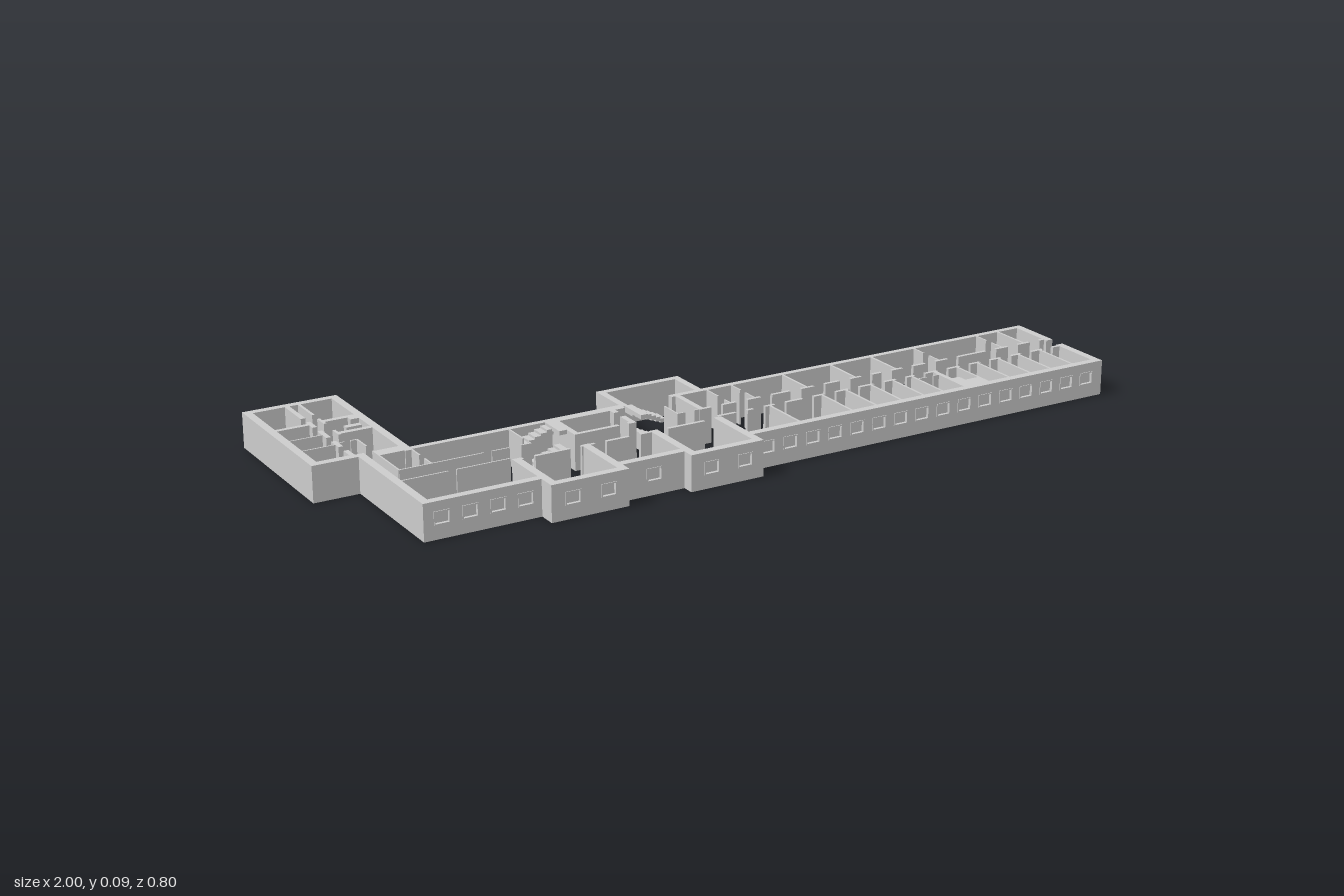
import * as THREE from 'three';

const H = 0.09;      // wall height
const OUT = 0.02;    // outer wall thickness
const IN = 0.009;    // inner wall thickness
const THIN = 0.004;  // light partition thickness
const REVEAL = 0.006; // depth of the window recesses

export function createModel() {
  const model = new THREE.Group();
  model.name = 'buildingFloor';
  // The walls are hollow and open underneath, so both sides show
  const material = new THREE.MeshStandardMaterial({ color: 0xcccccc, flatShading: true, side: THREE.DoubleSide });

  const group = (name) => {
    const g = new THREE.Group();
    g.name = name;
    model.add(g);
    return g;
  };
  const add = (parent, name, geometry, x, y, z) => {
    const mesh = new THREE.Mesh(geometry, material);
    mesh.position.set(x, y, z);
    mesh.name = name;
    parent.add(mesh);
  };
  // Box given by its limits on the plan and in height, open underneath
  const block = (parent, name, x0, x1, z0, z1, y0 = 0, y1 = H) => {
    const box = new THREE.BoxGeometry(x1 - x0, y1 - y0, z1 - z0);
    const index = Array.from(box.index.array);
    index.splice(18, 6);
    box.setIndex(index);
    add(parent, name, box, (x0 + x1) / 2, (y0 + y1) / 2, (z0 + z1) / 2);
  };
  // Straight wall on a centre line; each gap is [centre, width], open to the full height
  const wall = (parent, name, axis, at, from, to, t, gaps = []) => {
    let start = from;
    const piece = (a, b) => {
      if (b - a < 0.002) return;
      if (axis === 'x') block(parent, name, a, b, at - t / 2, at + t / 2);
      else block(parent, name, at - t / 2, at + t / 2, a, b);
    };
    for (const [c, w] of [...gaps].sort((a, b) => a[0] - b[0])) {
      piece(start, c - w / 2);
      start = c + w / 2;
    }
    piece(start, to);
  };

  // Outer walls, as [x0, x1, z0, z1]
  const outer = group('outerWalls');
  const outerWalls = [
    // side wing
    [-1, -1 + OUT, -0.4, 0.017], [-1, -0.758, -0.4, -0.381],
    [-0.778, -0.758, -0.4, 0.037], [-1, -0.885, -0.003, 0.017],
    // main block
    [-0.885, -0.865, 0.0, 0.353], [-0.84, -0.205, 0.017, 0.033],
    [0, 1, 0.017, 0.033], [-0.07, 0.02, 0.017, 0.033],
    // sides of the two front bays
    [-0.595, -0.575, 0.21, 0.398], [-0.417, -0.397, 0.21, 0.398],
    [-0.235, -0.215, 0.21, 0.398], [-0.06, -0.04, 0.21, 0.398],
    // back annex
    [-0.208, -0.19, -0.095, 0.033], [-0.208, 0.022, -0.095, -0.077],
    [0.004, 0.022, -0.095, 0.033],
    // end wall with the corridor window cut down from the top
    [0.98, 1, 0.017, 0.155], [0.98, 1, 0.195, 0.353], [0.98, 1, 0.155, 0.195, 0, 0.05],
  ];
  for (const w of outerWalls) block(outer, 'outerWall', ...w);

  // Front walls: a backing, a coping, a facing pierced by windows, and a slim frame in each opening
  const front = group('frontWalls');
  const rect = (Type, x0, x1, y0, y1) => new Type(
    [[x0, y0], [x1, y0], [x1, y1], [x0, y1]].map(([x, y]) => new THREE.Vector2(x, y)));
  const frontWall = (x0, x1, z, from, to, count) => {
    const w = 0.017, y0 = 0.037, y1 = 0.064, rim = 0.003;
    block(front, 'frontWall', x0, x1, z - OUT, z - REVEAL);
    block(front, 'coping', x0, x1, z - REVEAL, z, H - 0.004, H);
    const facing = rect(THREE.Shape, x0, x1, 0, H - 0.004);
    for (let i = 0; i < count; i++) {
      const x = count > 1 ? from + (to - from) * i / (count - 1) : (from + to) / 2;
      facing.holes.push(rect(THREE.Path, x - w, x + w, y0, y1));
      const frame = rect(THREE.Shape, x - w - rim, x + w + rim, y0 - rim, y1 + rim);
      frame.holes.push(rect(THREE.Path, x - w, x + w, y0, y1));
      add(front, 'windowFrame',
        new THREE.ExtrudeGeometry(frame, { depth: REVEAL + 0.002, bevelEnabled: false }), 0, 0, z - REVEAL);
    }
    add(front, 'frontFacing', new THREE.ShapeGeometry(facing), 0, 0, z);
  };
  frontWall(-0.885, -0.595, 0.353, -0.84, -0.635, 4);
  frontWall(-0.595, -0.397, 0.398, -0.54, -0.45, 2);
  frontWall(-0.397, -0.235, 0.368, -0.35, -0.28, 1);
  frontWall(-0.235, -0.04, 0.398, -0.18, -0.09, 2);
  frontWall(-0.04, 1, 0.353, 0.0, 0.95, 16);

  // East rooms on both sides of the corridor
  const east = group('eastRooms');
  const backRooms = [0.1, 0.25, 0.394, 0.517, 0.65, 0.849, 0.918];
  const frontRooms = [0.1, 0.25, 0.32, 0.394, 0.46, 0.517, 0.587, 0.656, 0.72, 0.785, 0.849, 0.918];
  const door = 0.032;
  for (const x of backRooms) {
    const light = x === 0.1 || x === 0.65 || x === 0.849;
    wall(east, 'roomPartition', 'z', x, 0.033, 0.141, light ? THIN : 0.006, light ? [[0.085, 0.022]] : []);
  }
  wall(east, 'roomPartition', 'z', 0.03, 0.033, 0.141, THIN, [[0.1, 0.03]]);
  wall(east, 'roomPartition', 'z', -0.052, 0.017, 0.141, 0.014);
  for (const x of frontRooms) {
    wall(east, 'roomPartition', 'z', x, 0.203, 0.335, x === 0.587 ? 0.012 : 0.006);
  }
  wall(east, 'corridorWall', 'x', 0.141, -0.06, 0.98, IN,
    [-0.01, 0.06, 0.13, 0.215, 0.285, 0.36, 0.425, 0.485, 0.55, 0.62, 0.69, 0.81, 0.88, 0.95].map((x) => [x, door]));
  wall(east, 'corridorWall', 'x', 0.204, -0.045, 0.98, IN,
    [0.02, 0.07, 0.13, 0.21, ...frontRooms.slice(1).map((x) => x + 0.025)].map((x) => [x, door]));
  wall(east, 'closetWall', 'x', 0.23, 0.52, 0.587, THIN, [[0.555, 0.02]]);
  block(east, 'shaft', 0.59, 0.653, 0.295, 0.335);
  block(east, 'shaft', 0.59, 0.615, 0.27, 0.3);

  // Central rooms
  const centre = group('centralRooms');
  wall(centre, 'corridorWall', 'x', 0.216, -0.575, -0.045, IN,
    [-0.555, -0.435, -0.37, -0.28, -0.205, -0.075].map((x) => [x, 0.03]));
  wall(centre, 'roomWall', 'x', 0.138, -0.397, -0.232, 0.011, [[-0.265, 0.025]]);
  wall(centre, 'roomWall', 'z', -0.39, 0.03, 0.143, 0.014);
  wall(centre, 'roomWall', 'z', -0.239, 0.03, 0.143, 0.014, [[0.075, 0.03]]);
  wall(centre, 'roomWall', 'x', 0.036, -0.397, -0.205, 0.012);
  wall(centre, 'stairHallWall', 'x', 0.141, -0.12, -0.06, THIN, [[-0.085, 0.025]]);
  wall(centre, 'stairHallWall', 'z', -0.118, 0.08, 0.141, THIN);
  wall(centre, 'stairHallWall', 'z', -0.51, 0.03, 0.141, THIN, [[0.115, 0.025]]);

  // Two stairs, each of an upper and a lower flight beside a landing
  const stairs = (x0, x1, z0, z1, dir) => {
    const g = group('stairs');
    const n = 7, step = (x1 - x0) / n, mid = (z0 + z1) / 2;
    for (let i = 0; i < n; i++) {
      const x = dir > 0 ? x0 + i * step : x1 - (i + 1) * step;
      block(g, 'upperStep', x, x + step, z0, mid, H * 0.5 + i * 0.005, 0.055 + i * 0.0058);
      block(g, 'lowerStep', x, x + step, mid, z1, 0, 0.008 + i * 0.006);
    }
    const land = dir > 0 ? x1 - 0.02 : x0;
    block(g, 'landing', land, land + 0.02, z0, z1, 0.08, 0.0905);
  };
  stairs(-0.51, -0.397, 0.03, 0.105, 1);
  stairs(-0.2, -0.11, 0.03, 0.108, -1);

  // West hall with light partitions
  const west = group('westHall');
  wall(west, 'hallPartition', 'x', 0.139, -0.841, -0.51, THIN, [[-0.62, 0.02], [-0.55, 0.03]]);
  wall(west, 'hallPartition', 'x', 0.202, -0.865, -0.595, THIN, [[-0.74, 0.02]]);
  wall(west, 'hallPartition', 'z', -0.841, -0.09, 0.139, THIN, [[-0.02, 0.035]]);
  wall(west, 'hallPartition', 'z', -0.761, 0.033, 0.139, THIN, [[0.09, 0.025]]);
  block(west, 'hallPier', -0.84, -0.758, 0.0, 0.03);

  // Side wing rooms along a narrow corridor
  const wing = group('wingRooms');
  wall(wing, 'corridorWall', 'z', -0.893, -0.385, 0.0, 0.012,
    [-0.27, -0.2, -0.12, -0.05].map((z) => [z, 0.028]));
  wall(wing, 'corridorWall', 'z', -0.862, -0.385, -0.14, 0.007, [[-0.28, 0.03], [-0.2, 0.05]]);
  wall(wing, 'wingPartition', 'x', -0.239, -0.98, -0.893, 0.012);
  wall(wing, 'wingPartition', 'x', -0.158, -0.98, -0.893, THIN);
  wall(wing, 'wingPartition', 'x', -0.083, -0.98, -0.893, THIN);
  wall(wing, 'wingPartition', 'x', -0.244, -0.862, -0.775, 0.014);
  wall(wing, 'wingPartition', 'x', -0.151, -0.862, -0.775, 0.014);
  wall(wing, 'wingPartition', 'x', -0.09, -0.887, -0.841, THIN, [[-0.865, 0.015]]);
  // Winding steps, the middle ones reaching furthest into the room
  for (let i = 0; i < 5; i++) {
    const reach = 0.025 + 0.025 * Math.sin(Math.PI * i / 4);
    block(wing, 'wingStep', -0.775 - reach, -0.775, -0.237 + i * 0.016, -0.221 + i * 0.016, 0, H - i * 0.012);
  }
  return model;
}
